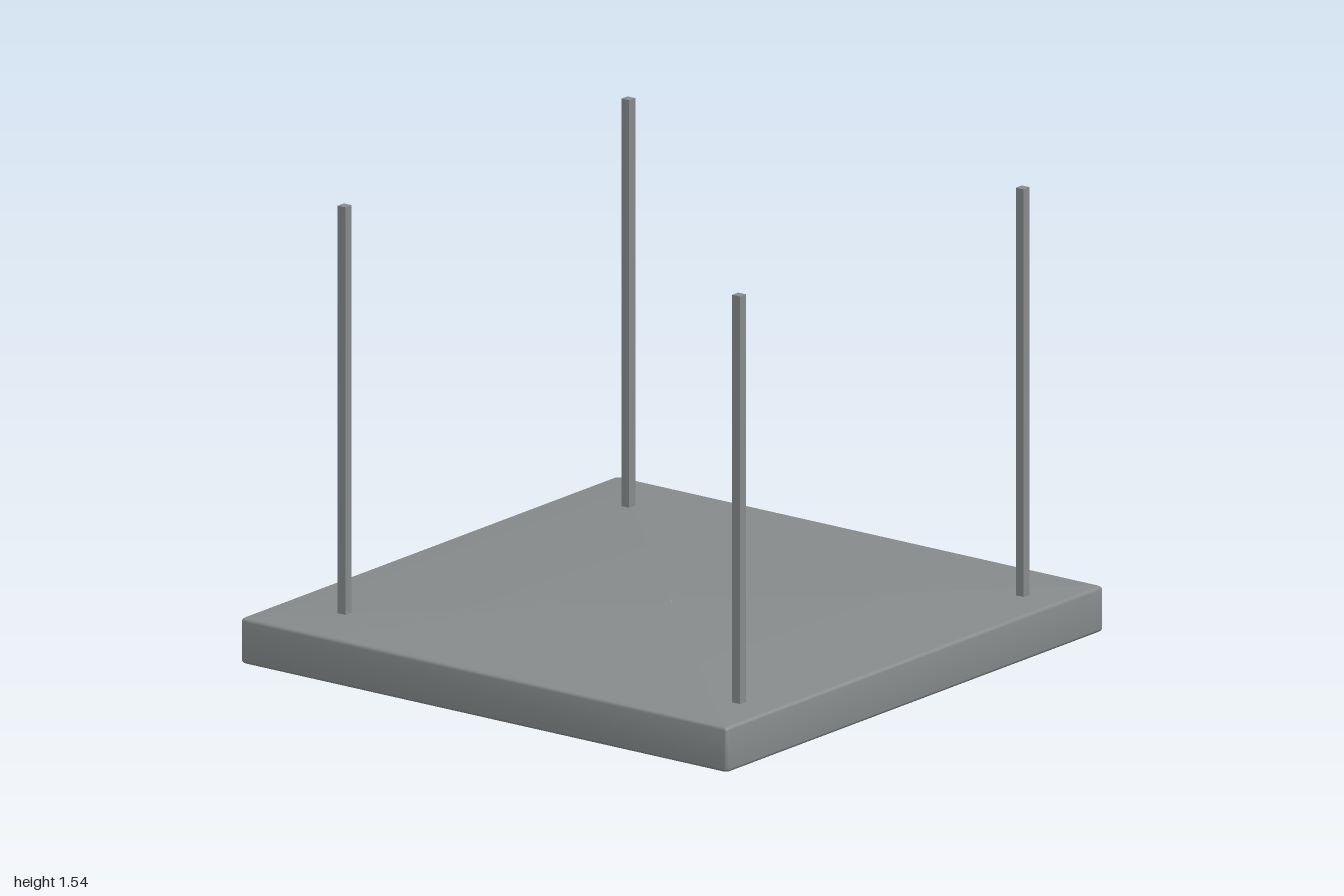
import * as THREE from 'three';
import { toCreasedNormals } from 'three/addons/utils/BufferGeometryUtils.js';

// Rounded square outline of half-width h and corner radius r
function ring(h, r, steps = 4) {
  const pts = [];
  for (let c = 0; c < 4; c++) {
    const mid = Math.PI / 4 + c * Math.PI / 2;
    const cx = Math.sign(Math.cos(mid)) * (h - r), cz = Math.sign(Math.sin(mid)) * (h - r);
    for (let i = 0; i <= steps; i++) {
      const a = c * Math.PI / 2 + (i / steps) * Math.PI / 2;
      pts.push([cx + r * Math.cos(a), cz + r * Math.sin(a)]);
    }
  }
  return pts;
}

// Skin through square sections [halfWidth, y, cornerRadius], listed from the top centre outwards
function squareSweep(sections) {
  const pos = [], idx = [];
  const n = ring(1, 0.1).length;
  for (const [h, y, r] of sections) for (const [x, z] of ring(h, r)) pos.push(x, y, z);
  for (let s = 0; s < sections.length - 1; s++) {
    for (let i = 0; i < n; i++) {
      const a = s * n + i, b = s * n + (i + 1) % n;
      idx.push(a, b, a + n, b, b + n, a + n);
    }
  }
  const geo = new THREE.BufferGeometry();
  geo.setAttribute('position', new THREE.Float32BufferAttribute(pos, 3));
  geo.setIndex(idx);
  return toCreasedNormals(geo, 0.6);
}

export function createModel() {
  const model = new THREE.Group();
  model.name = 'hangingPanel';
  const metal = new THREE.MeshStandardMaterial({ color: 0x868a8a });
  metal.name = 'grey metal';
  const diffuser = new THREE.MeshStandardMaterial({ color: 0xa8a8a8 });
  diffuser.name = 'pale diffuser';

  const TOP = 0.155, RECESS = 0.065, INNER = 0.945, R = 0.012;

  // Housing: top, rounded outer edges, bottom rim and recess wall
  const sections = [[0.001, TOP, 0.0005]];
  for (let i = 0; i <= 4; i++) {
    const a = i / 4 * Math.PI / 2;
    sections.push([1 - R + R * Math.sin(a), TOP - R + R * Math.cos(a), R]);
  }
  for (let i = 0; i <= 4; i++) {
    const a = i / 4 * Math.PI / 2;
    sections.push([1 - R + R * Math.cos(a), R - R * Math.sin(a), R]);
  }
  sections.push([INNER, 0, 0.005], [INNER, RECESS, 0.005]);
  const housing = new THREE.Mesh(squareSweep(sections), metal);
  housing.name = 'housing';
  model.add(housing);

  // Recessed panel facing down
  const panel = new THREE.Mesh(new THREE.PlaneGeometry(2 * INNER, 2 * INNER), diffuser);
  panel.name = 'diffuserPanel';
  panel.rotation.x = Math.PI / 2;
  panel.position.y = RECESS;
  model.add(panel);

  // Four suspension rods
  const rodTop = 1.54, rodWidth = 0.032;
  const rodGeo = new THREE.BoxGeometry(rodWidth, rodTop - TOP, rodWidth);
  for (const x of [-0.75, 0.757]) {
    for (const z of [-0.765, 0.856]) {
      const rod = new THREE.Mesh(rodGeo, metal);
      rod.name = 'suspensionRod';
      rod.position.set(x, (rodTop + TOP) / 2, z);
      model.add(rod);
    }
  }
  return model;
}
